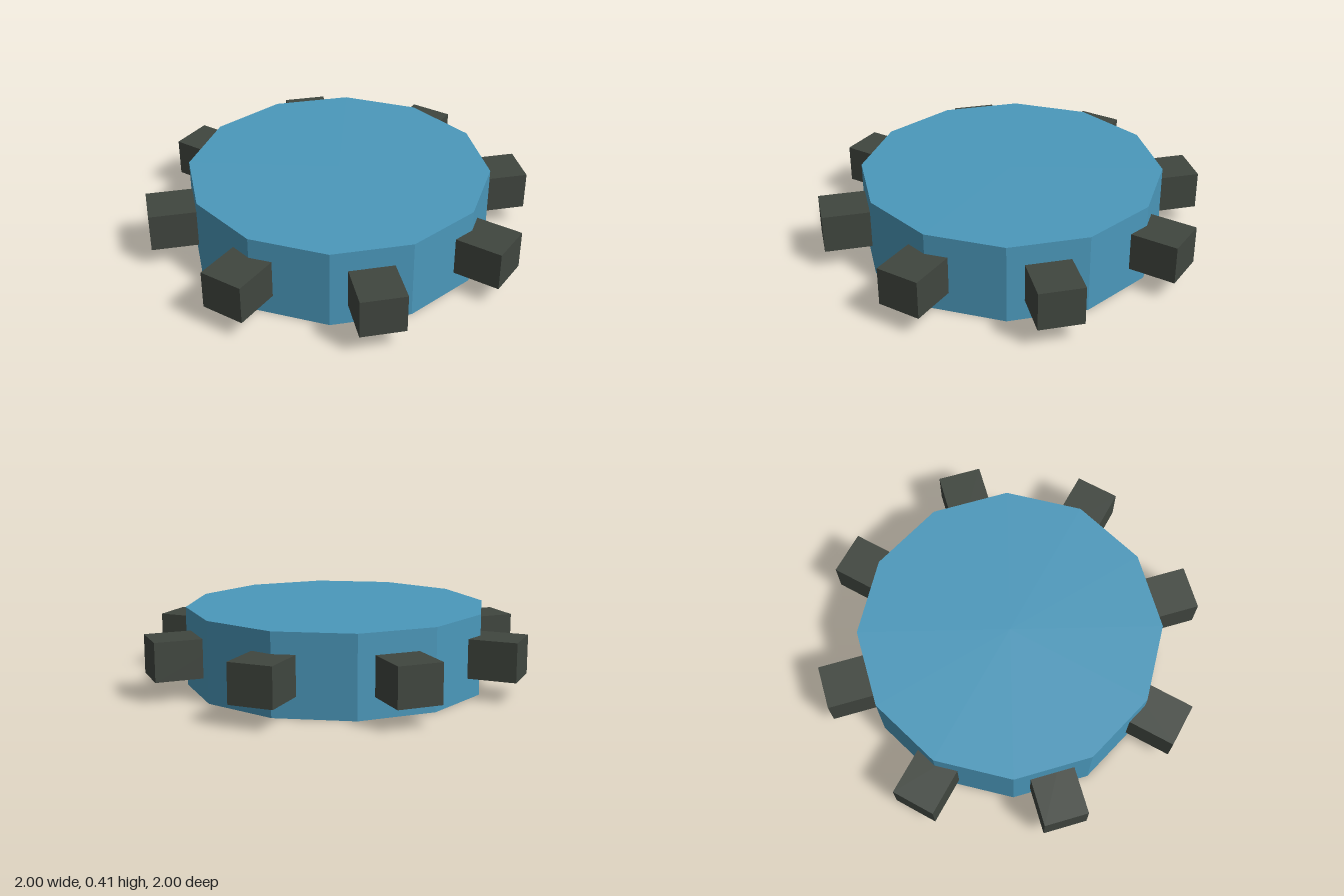
import * as THREE from 'three';

export function createModel() {
  const blue = new THREE.MeshStandardMaterial({ color: 0x4b98bb });
  blue.name = 'blue';
  blue.flatShading = true;
  const charcoal = new THREE.MeshStandardMaterial({ color: 0x40463f });
  charcoal.name = 'charcoal';

  const model = new THREE.Group();
  model.name = 'cogWheel';

  // Twelve-sided disc with corners on the x and z axes
  const height = 0.415;
  const disc = new THREE.Mesh(new THREE.CylinderGeometry(0.785, 0.785, height, 12), blue);
  disc.name = 'disc';
  disc.position.y = height / 2;
  model.add(disc);

  // Eight square teeth, sunk into the rim and reaching radius 1
  const inner = 0.6;
  const toothGeometry = new THREE.BoxGeometry(0.228, 0.2, 1 - inner);
  toothGeometry.translate(0, 0, (1 + inner) / 2);
  for (let i = 0; i < 8; i++) {
    const tooth = new THREE.Mesh(toothGeometry, charcoal);
    tooth.name = 'tooth' + (i + 1);
    tooth.position.y = height / 2;
    tooth.rotation.y = (i * Math.PI) / 4;
    model.add(tooth);
  }
  return model;
}
